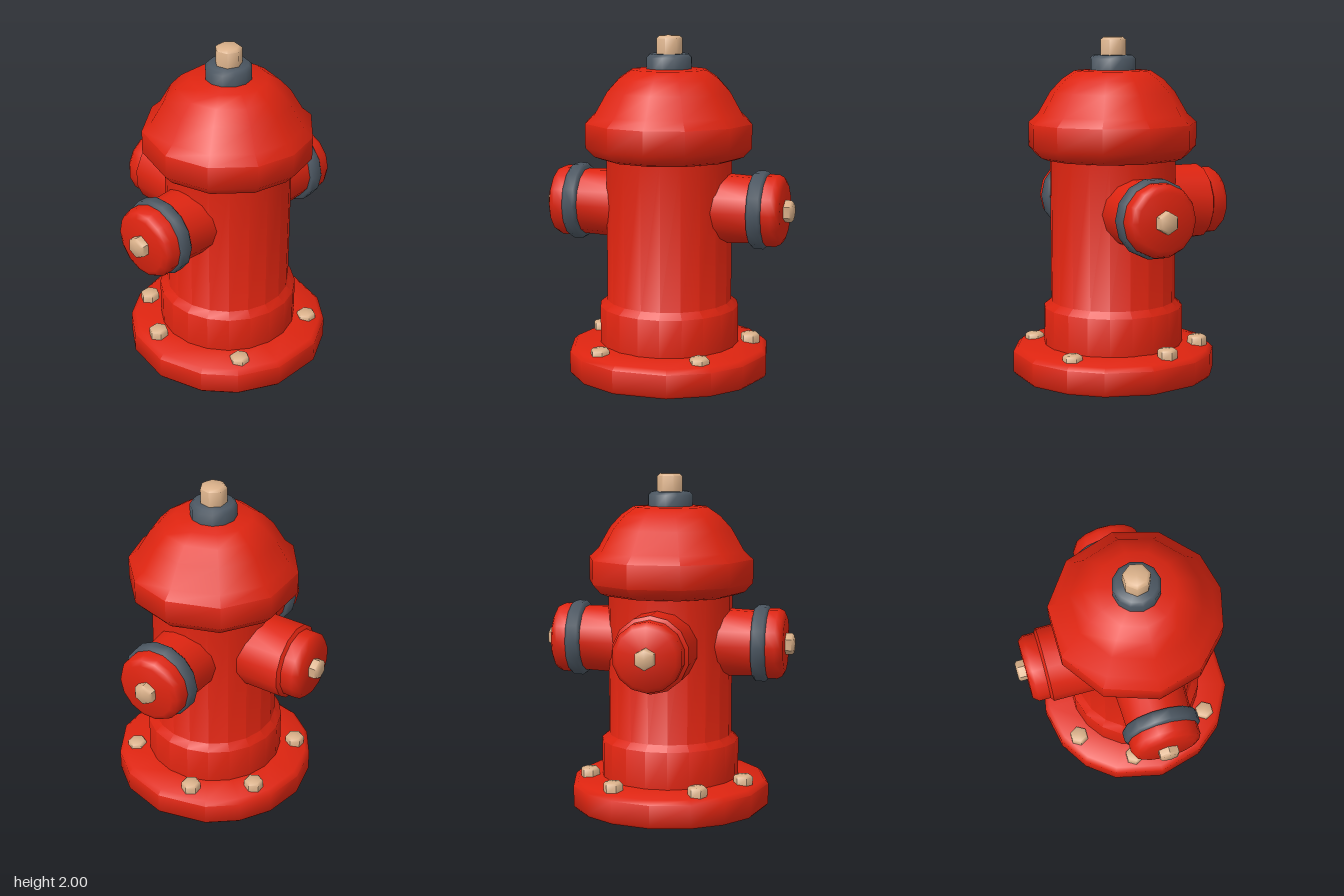
import * as THREE from 'three';
import { toCreasedNormals } from 'three/addons/utils/BufferGeometryUtils.js';

const AXIS_Z = 0.07;

function material(name, color) {
  const m = new THREE.MeshStandardMaterial({ color });
  m.name = name;
  return m;
}

// Evenly spaced angles in degrees, measured from the front
const even = (n, start = 0) => Array.from({ length: n }, (_, i) => start + (360 * i) / n);

// Mirror half a set of angles to the other side
const mirrored = (half) => [...half, ...half.filter((a) => a > 0 && a < 180).map((a) => 360 - a).reverse()];

// Turned solid: profile of [radius, height] from bottom to top, swept over the given angles
function turned(profile, angles, crease = 0.9) {
  const n = angles.length;
  const positions = [];
  const index = [];
  for (const [r, y] of profile) {
    for (const deg of angles) {
      const a = THREE.MathUtils.degToRad(deg);
      positions.push(r * Math.sin(a), y, r * Math.cos(a));
    }
  }
  for (let j = 0; j < profile.length - 1; j++) {
    for (let i = 0; i < n; i++) {
      const k = (i + 1) % n;
      const a = j * n + i, b = j * n + k, c = b + n, d = a + n;
      if (profile[j][0] > 0) index.push(a, b, c);
      if (profile[j + 1][0] > 0) index.push(a, c, d);
    }
  }
  const g = new THREE.BufferGeometry();
  g.setAttribute('position', new THREE.Float32BufferAttribute(positions, 3));
  g.setIndex(index);
  return toCreasedNormals(g, crease);
}

function part(name, geometry, mat, parent) {
  const mesh = new THREE.Mesh(geometry, mat);
  mesh.name = name;
  parent.add(mesh);
  return mesh;
}

// Six-sided bolt with a small chamfer
function boltGeometry(r, bottom, top, start = 0) {
  const c = 0.2 * r;
  return turned([[0, bottom], [r, bottom], [r, top - c], [r - c, top], [0, top]], even(6, start));
}

export function createModel() {
  const red = material('red paint', 0xdd2410);
  const grey = material('dark grey metal', 0x4b5661);
  const tan = material('tan metal', 0xd9b089);

  const model = new THREE.Group();
  model.name = 'hydrant';
  const body = new THREE.Group();
  body.name = 'hydrantBody';
  body.position.z = AXIS_Z;
  model.add(body);

  // Base flange with uneven facets
  part('baseFlange', turned(
    [[0, 0], [0.59, 0], [0.603, 0.015], [0.603, 0.14], [0.575, 0.165], [0.4, 0.185], [0, 0.185]],
    mirrored([15.3, 40, 61, 88, 117, 137, 157, 180])), red, body);

  // Lower collar and barrel
  part('barrel', turned(
    [[0.415, 0.16], [0.415, 0.405], [0.372, 0.44], [0.372, 1.32]], even(20, 9)), red, body);

  // Domed bonnet
  part('bonnet', turned(
    [[0, 1.29], [0.41, 1.29], [0.45, 1.305], [0.5, 1.36], [0.5, 1.5], [0.445, 1.55],
      [0.37, 1.68], [0.3, 1.755], [0.225, 1.805], [0, 1.815]],
    mirrored([0, 27, 59, 90, 127, 162])), red, body);

  // Top collar and operating nut
  part('topCollar', turned(
    [[0, 1.79], [0.135, 1.79], [0.135, 1.875], [0.115, 1.895], [0, 1.895]], even(12)), grey, body);
  part('topNut', turned(
    [[0, 1.88], [0.078, 1.88], [0.078, 1.985], [0.06, 2], [0, 2]], even(7)), tan, body);

  // Flange bolts: [x, z, bottom, top]
  for (const [x, z, bottom, top] of [[0.3, 0.39, 0.15, 0.205], [0.47, -0.13, 0.16, 0.225], [0.25, -0.44, 0.16, 0.225]]) {
    for (const side of [-1, 1]) {
      part('flangeBolt', boltGeometry(0.058, bottom, top, 30), tan, body).position.set(side * x, 0, z);
    }
  }

  // Side outlets, built upright and laid over
  for (const side of [-1, 1]) {
    const outlet = new THREE.Group();
    outlet.name = side > 0 ? 'leftOutlet' : 'rightOutlet';
    outlet.position.y = 1.003;
    outlet.rotation.z = -side * Math.PI / 2;
    body.add(outlet);
    part('outletPipe', turned([[0.21, 0.2], [0.195, 0.55]], even(14)), red, outlet);
    part('outletBand', turned(
      [[0, 0.515], [0.215, 0.515], [0.228, 0.53], [0.228, 0.585], [0.215, 0.6], [0, 0.6]], even(14)), grey, outlet);
    part('outletCap', turned(
      [[0.21, 0.59], [0.21, 0.655], [0.195, 0.685], [0.165, 0.7], [0, 0.7]], even(14)), red, outlet);
    part('outletNut', boltGeometry(0.065, 0.68, 0.75, 30), tan, outlet);
  }

  // Rear outlet
  const rear = new THREE.Group();
  rear.name = 'rearOutlet';
  rear.position.y = 1.003;
  rear.rotation.x = -Math.PI / 2;
  body.add(rear);
  part('rearPipe', turned([[0.225, 0.2], [0.225, 0.56], [0.203, 0.575], [0.203, 0.645], [0.175, 0.678], [0, 0.678]],
    even(14)), red, rear);
  part('rearNut', boltGeometry(0.062, 0.66, 0.73), tan, rear);

  return model;
}
